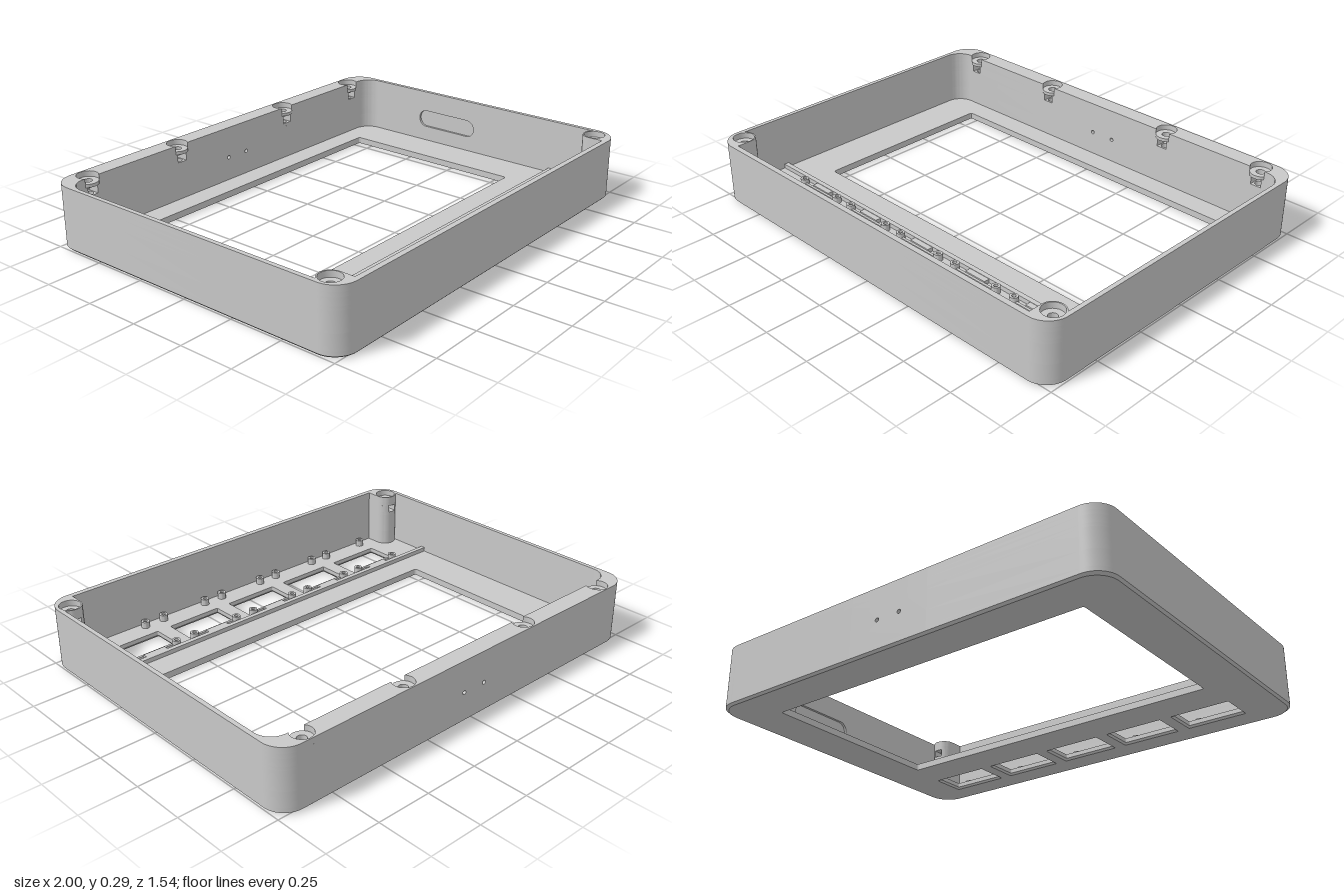
import * as THREE from 'three';
import { toCreasedNormals } from 'three/addons/utils/BufferGeometryUtils.js';

const BACK_SCREWS = [0.35, 0.855], BACK_Z = -0.717; // mirrored in x
const BACK_IN = -0.687, FRONT_IN = 0.745, HEIGHT = 0.287;
const COL_X = 0.937, COL_Z = 0.68, COL_R = 0.053;   // front corner columns
const BORE = 0.047, SCREW = 0.02;
const PITCH = 0.335, BUTTONS = [-2, -1, 0, 1, 2];
const WIN_Z = 0.568;                                // centre of the button openings

const circle = (x, y, r) => new THREE.Path().absarc(x, y, r, 0, Math.PI * 2, false);

function roundRect(x0, y0, x1, y1, r) {
  const p = new THREE.Path();
  p.absarc(x1 - r, y0 + r, r, -Math.PI / 2, 0, false);
  p.absarc(x1 - r, y1 - r, r, 0, Math.PI / 2, false);
  p.absarc(x0 + r, y1 - r, r, Math.PI / 2, Math.PI, false);
  p.absarc(x0 + r, y0 + r, r, Math.PI, Math.PI * 1.5, false);
  p.closePath();
  return p;
}

// Horizontal slab between two heights; shape coordinates are (x, z)
function slab(points, holes, y0, y1) {
  const shape = new THREE.Shape(points);
  shape.holes.push(...holes);
  return new THREE.ExtrudeGeometry(shape, { depth: y1 - y0, bevelEnabled: false, curveSegments: 12 })
    .rotateX(Math.PI / 2).translate(0, y1, 0);
}

const mirrored = (pts) => pts.map((p) => new THREE.Vector2(-p.x, p.y)).reverse();

// Outer outline, from the middle of the back round to the middle again
function outerOutline() {
  const p = new THREE.Path();
  p.moveTo(0.1, -0.77);
  p.lineTo(0.2, -0.77);
  p.absarc(0.9, -0.67, 0.1, -Math.PI / 2, 0, false);
  p.absarc(0.9, 0.67, 0.1, 0, Math.PI / 2, false);
  const half = p.getPoints(8);
  return half.concat(mirrored(half));
}

// One half of the inner outline, with cut-outs depending on the level
function innerHalf({ bore, nut, pocket }) {
  const p = new THREE.Path();
  p.moveTo(0.1, BACK_IN);
  p.lineTo(0.2, BACK_IN);
  for (const x of BACK_SCREWS) {
    if (bore) {
      const a = Math.asin((BACK_IN - BACK_Z) / BORE);
      p.absarc(x, BACK_Z, BORE, Math.PI - a, Math.PI * 2 + a, false);
    }
    if (nut) {
      p.lineTo(x - 0.025, BACK_IN); p.lineTo(x - 0.025, -0.745);
      p.lineTo(x + 0.025, -0.745); p.lineTo(x + 0.025, BACK_IN);
    }
  }
  p.absarc(0.9, BACK_IN + 0.08, 0.08, -Math.PI / 2, 0, false);
  if (pocket) {
    p.lineTo(0.98, -0.34); p.lineTo(0.992, -0.34);
    p.lineTo(0.992, 0); p.lineTo(0.98, 0);
  }
  const start = -Math.acos((0.98 - COL_X) / COL_R);
  if (nut) {
    const a = Math.acos(0.02 / COL_R);
    p.absarc(COL_X, COL_Z, COL_R, start, -a, true);
    p.lineTo(COL_X + 0.02, 0.71); p.lineTo(COL_X - 0.02, 0.71);
    p.absarc(COL_X, COL_Z, COL_R, a - Math.PI, -Math.PI, true);
  } else p.absarc(COL_X, COL_Z, COL_R, start, -Math.PI, true);
  p.lineTo(COL_X - COL_R, FRONT_IN);
  return p.getPoints(8);
}

function wallLayer(y0, y1, opts = {}) {
  const inner = innerHalf(opts).concat(mirrored(innerHalf({ ...opts, pocket: false })));
  const holes = [];
  for (const s of [-1, 1]) {
    if (!opts.nut) holes.push(circle(s * COL_X, COL_Z, opts.bore ? BORE : SCREW));
    if (!opts.nut && !opts.bore) BACK_SCREWS.forEach((x) => holes.push(circle(s * x, BACK_Z, SCREW)));
  }
  // an open layer leaves a gap in the middle of the back wall
  if (opts.open) return slab(outerOutline().concat(inner.reverse()), holes, y0, y1);
  return slab(outerOutline(), [new THREE.Path(inner), ...holes], y0, y1);
}

const floorHoles = () => [
  roundRect(-0.79, -0.582, 0.79, 0.31, 0.01),
  ...BUTTONS.map((i) => roundRect(i * PITCH - 0.133, WIN_Z - 0.075, i * PITCH + 0.133, WIN_Z + 0.075, 0.006)),
];

// Bottom plate: chamfered round the rim and round the button openings
function chamferedPlate() {
  const g = slab(outerOutline(), floorHoles(), 0, 0.01), pos = g.attributes.position;
  for (let k = 0; k < pos.count; k++) {
    if (pos.getY(k) > 0.005) continue;
    const x = pos.getX(k), z = pos.getZ(k);
    if (Math.abs(x) > 0.85 || Math.abs(z) > 0.7) pos.setXYZ(k, x * 0.99, 0, z * 0.987);
    else if (z > 0.45) {
      const cx = Math.round(x / PITCH) * PITCH;
      pos.setXYZ(k, x + 0.007 * Math.sign(x - cx), 0, z + 0.007 * Math.sign(z - WIN_Z));
    }
  }
  return g;
}

export function createModel() {
  const model = new THREE.Group();
  model.name = 'enclosureShell';
  const grey = new THREE.MeshStandardMaterial({ color: 0xc8c8c8 });
  grey.name = 'light grey plastic';
  const add = (name, geo) => {
    const mesh = new THREE.Mesh(toCreasedNormals(geo, 0.5), grey);
    mesh.name = name;
    model.add(mesh);
  };
  const box = (name, w, h, d, x, y, z) =>
    add(name, new THREE.BoxGeometry(w, h, d).translate(x, y + h / 2, z));

  // Floor
  add('floorChamfer', chamferedPlate());
  add('floor', slab(outerOutline(), floorHoles(), 0.01, 0.03));

  // Walls, stacked by level
  add('wallLower', wallLayer(0.03, 0.1));
  add('wallMiddle', wallLayer(0.1, 0.19, { open: true, pocket: true }));
  add('wallUpper', wallLayer(0.19, 0.205));
  add('wallNutSlots', wallLayer(0.205, 0.24, { nut: true }));
  add('wallAboveSlots', wallLayer(0.24, 0.26));
  add('wallRim', wallLayer(0.26, HEIGHT, { bore: true }));

  // Back wall insert with two pinholes
  const insert = new THREE.Shape([[-0.1, 0.1], [0.1, 0.1], [0.1, 0.19], [-0.1, 0.19]]
    .map(([x, y]) => new THREE.Vector2(x, y)));
  insert.holes.push(circle(-0.058, 0.14, 0.009), circle(0.058, 0.14, 0.009));
  add('backPinholes', new THREE.ExtrudeGeometry(insert, { depth: BACK_IN + 0.77, bevelEnabled: false })
    .translate(0, 0, -0.77));

  // Rounded frame of the pocket inside the side wall
  const frame = new THREE.Shape([[0, 0.1], [0.34, 0.1], [0.34, 0.19], [0, 0.19]]
    .map(([x, y]) => new THREE.Vector2(x, y)));
  frame.holes.push(roundRect(0.005, 0.103, 0.335, 0.187, 0.0419));
  add('sidePocket', new THREE.ExtrudeGeometry(frame, { depth: 0.012, bevelEnabled: false })
    .rotateY(Math.PI / 2).translate(0.98, 0, 0));

  // Screw seats along the back wall
  for (const s of [-1, 1]) for (const x of BACK_SCREWS) {
    add('screwSeat', slab(circle(s * x, BACK_Z, BORE).getPoints(24),
      [circle(s * x, BACK_Z, SCREW)], 0.247, 0.262));
  }

  // Rib between the screen and the buttons
  box('dividerRib', 1.96, 0.02, 0.022, 0, 0.03, 0.442);

  // Screw posts and retaining ridges round each button opening
  for (const i of BUTTONS) {
    const cx = i * PITCH;
    for (const s of [-1, 1]) for (const z of [0.478, 0.716]) {
      const x = cx + s * 0.118;
      add('screwPost', slab(circle(x, z, 0.019).getPoints(16), [circle(x, z, 0.009)], 0.03, 0.06));
    }
    box('buttonRidge', 0.2, 0.012, 0.012, cx, 0.03, 0.484);
    box('ridgeTab', 0.11, 0.018, 0.026, cx, 0.03, 0.466);
  }
  return model;
}
